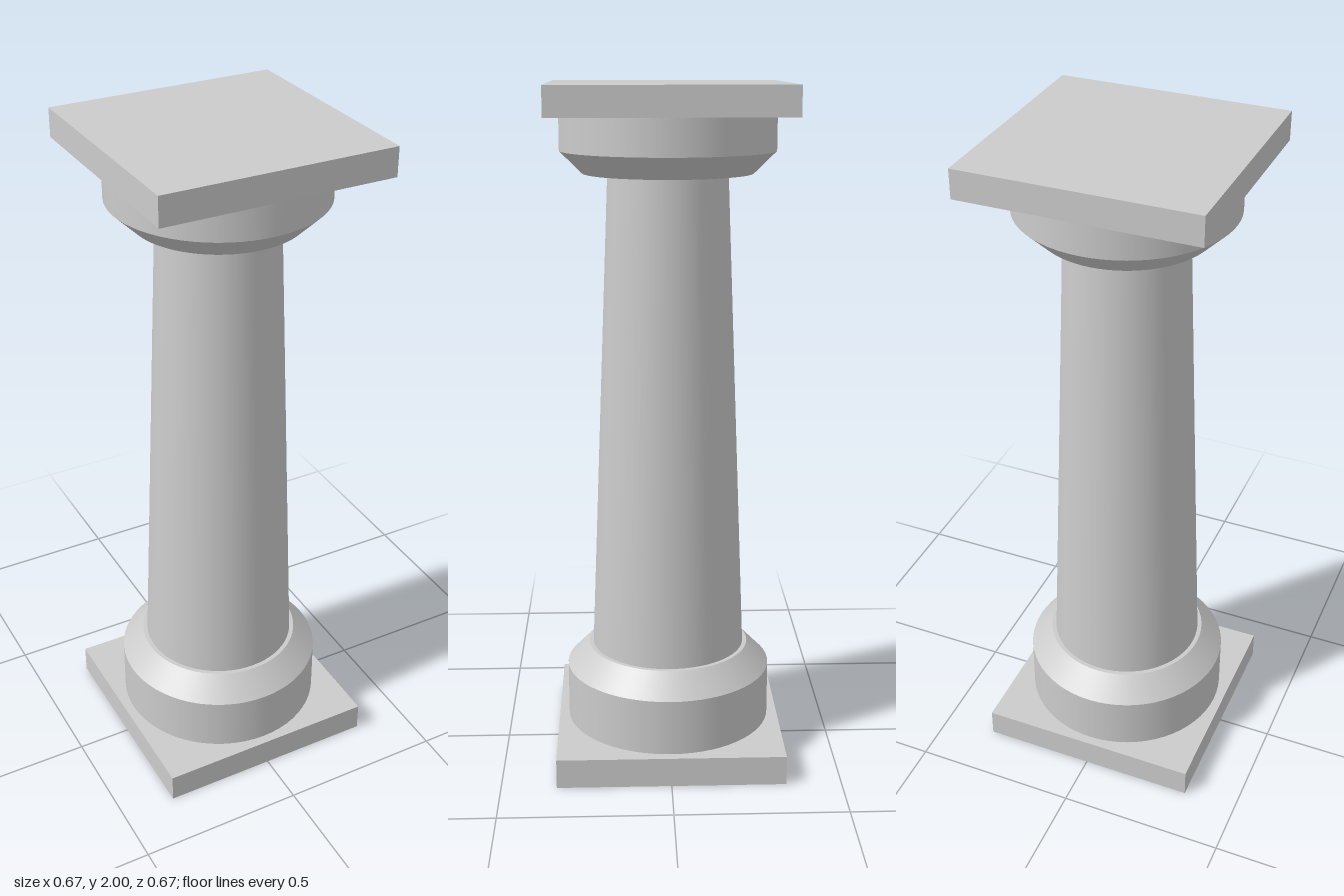
import * as THREE from 'three';

const SEGMENTS = 64;

export function createModel() {
  const column = new THREE.Group();
  column.name = 'column';
  const material = new THREE.MeshStandardMaterial({ color: 0xcccccc });

  const add = (name, geometry, y) => {
    const mesh = new THREE.Mesh(geometry, material);
    mesh.name = name;
    mesh.position.y = y;
    column.add(mesh);
  };

  // Square slab between two heights
  const slab = (name, y0, y1) =>
    add(name, new THREE.BoxGeometry(0.674, y1 - y0, 0.674), (y0 + y1) / 2);

  // Round drum or cone between two heights
  const round = (name, y0, y1, r0, r1) =>
    add(name, new THREE.CylinderGeometry(r1, r0, y1 - y0, SEGMENTS), (y0 + y1) / 2);

  // Base
  slab('plinth', 0, 0.088);
  round('baseDrum', 0.088, 0.255, 0.309, 0.309);
  round('baseBevel', 0.255, 0.323, 0.309, 0.243);

  // Tapered shaft
  round('shaft', 0.323, 1.75, 0.23, 0.173);

  // Capital
  round('capitalBevel', 1.75, 1.813, 0.245, 0.309);
  round('capitalDrum', 1.813, 1.917, 0.309, 0.309);
  slab('abacus', 1.917, 2);

  return column;
}
